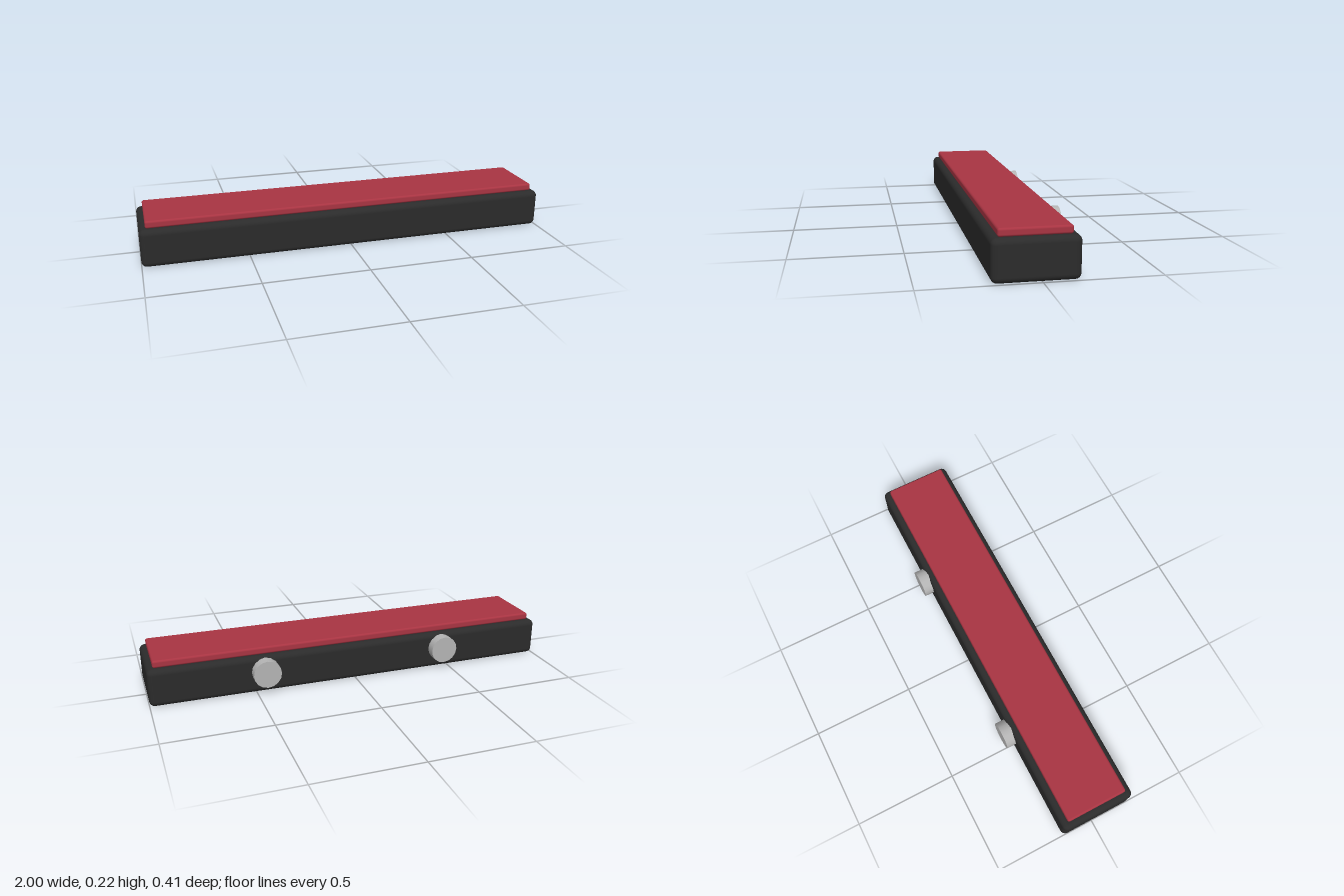
import * as THREE from 'three';
import { RoundedBoxGeometry } from 'three/addons/geometries/RoundedBoxGeometry.js';

export function createModel() {
  const model = new THREE.Group();
  model.name = 'paddedBar';

  const material = (name, color) => {
    const m = new THREE.MeshStandardMaterial({ color });
    m.name = name;
    return m;
  };
  const black = material('black casing', 0x2b2b2b);
  const red = material('red pad', 0xa83442);
  const grey = material('grey metal', 0xb4b4b4);

  const add = (name, geometry, mat, x, y, z) => {
    const mesh = new THREE.Mesh(geometry, mat);
    mesh.name = name;
    mesh.position.set(x, y, z);
    model.add(mesh);
    return mesh;
  };

  // Long rounded casing
  add('casing', new RoundedBoxGeometry(2, 0.182, 0.364, 4, 0.026), black, 0, 0.091, 0.023);

  // Cushion pad resting on top
  add('topPad', new RoundedBoxGeometry(1.94, 0.036, 0.304, 4, 0.01), red, 0, 0.199, 0.023);

  // Two round knobs on the back
  const knob = new THREE.CylinderGeometry(0.067, 0.067, 0.07, 16).rotateX(Math.PI / 2);
  for (const side of [-1, 1]) {
    add(side > 0 ? 'leftKnob' : 'rightKnob', knob, grey, side * 0.455, 0.107, -0.17);
  }

  return model;
}
